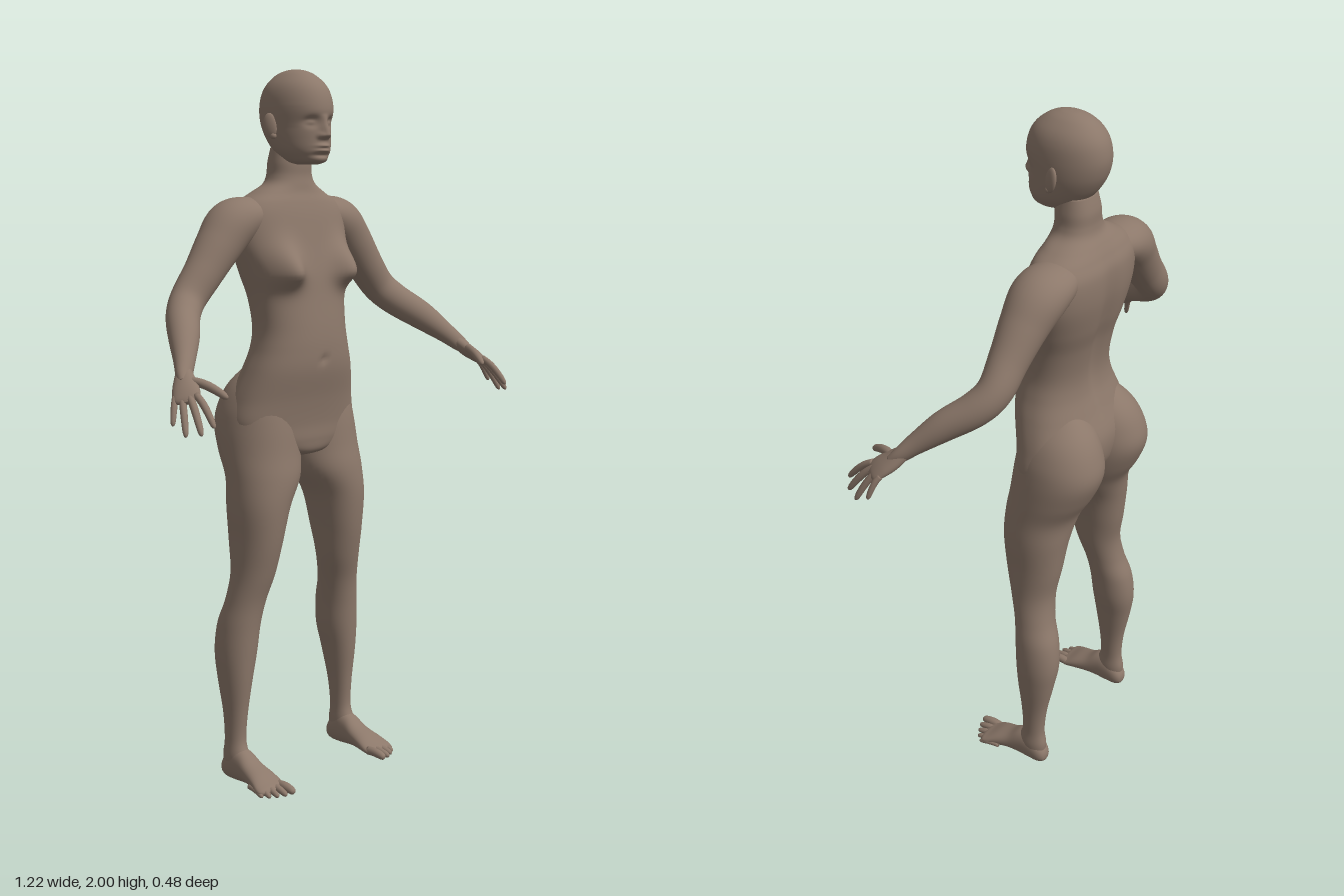
import * as THREE from 'three';

const bell = (d, w) => Math.exp(-(d / w) * (d / w));
const clamp = (v) => Math.min(1, Math.max(0, v));

// Smooth interpolation through rows of numbers, t from 0 to 1
function sample(rows, t) {
  const f = t * (rows.length - 1);
  const i = Math.min(Math.floor(f), rows.length - 2);
  const s = f - i;
  const row = (k) => rows[Math.min(rows.length - 1, Math.max(0, k))];
  return rows[i].map((b, k) => {
    const a = row(i - 1)[k], c = row(i + 1)[k], d = row(i + 2)[k];
    return 0.5 * (2 * b + (c - a) * s + (2 * a - 5 * b + 4 * c - d) * s * s + (3 * b - a - 3 * c + d) * s * s * s);
  });
}

// Closed smooth skin from rings; ring(t) returns a function from angle to [x, y, z]
function skin(ring, steps, sides) {
  const pos = [], index = [];
  for (let i = 0; i <= steps; i++) {
    const at = ring(i / steps);
    for (let j = 0; j < sides; j++) pos.push(...at((j / sides) * Math.PI * 2));
  }
  const poles = [0, steps].map((r) => {
    const c = [0, 0, 0];
    for (let j = 0; j < sides * 3; j++) c[j % 3] += pos[r * sides * 3 + j] / sides;
    return c;
  });
  const p0 = pos.length / 3, p1 = p0 + 1;
  pos.push(...poles[0], ...poles[1]);
  for (let j = 0; j < sides; j++) {
    const k = (j + 1) % sides;
    for (let i = 0; i < steps; i++) {
      const a = i * sides + j, b = i * sides + k, c = a + sides, d = b + sides;
      index.push(a, b, d, a, d, c);
    }
    index.push(p0, k, j, p1, steps * sides + j, steps * sides + k);
  }
  // Turn the faces outward whichever way the rings run
  const v = (n) => new THREE.Vector3().fromArray(pos, n * 3);
  let volume = 0;
  for (let i = 0; i < index.length; i += 3) volume += v(index[i]).dot(v(index[i + 1]).cross(v(index[i + 2])));
  if (volume < 0) index.reverse();
  const g = new THREE.BufferGeometry();
  g.setAttribute('position', new THREE.Float32BufferAttribute(pos, 3));
  g.setIndex(index);
  g.computeVertexNormals();
  return g;
}

// Loft of rows [height, centre, half width, high, low]; place() puts it in space
function loft(rows, place, steps, sides, power = 2) {
  const bend = (v) => Math.sign(v) * Math.abs(v) ** (2 / power);
  return skin((t) => {
    const [h, c, r, hi, lo] = sample(rows, t);
    return (q) => place(h, c + r * bend(Math.cos(q)), (hi + lo) / 2 + ((hi - lo) / 2) * bend(Math.sin(q)), Math.sin(q));
  }, steps, sides);
}

// Limb through rows [x, y, z, radius along ref, radius across]
function limb(rows, ref, steps, sides) {
  return skin((t) => {
    const [x, y, z, ra, rb] = sample(rows, t);
    const c = new THREE.Vector3(x, y, z);
    const point = (s) => new THREE.Vector3(...sample(rows, clamp(s)).slice(0, 3));
    const dir = point(t + 0.01).sub(point(t - 0.01)).normalize();
    const u = new THREE.Vector3(...ref);
    u.addScaledVector(dir, -u.dot(dir)).normalize();
    const v = dir.clone().cross(u);
    return (q) => c.clone().addScaledVector(u, ra * Math.cos(q)).addScaledVector(v, rb * Math.sin(q)).toArray();
  }, steps, sides);
}

// Finger or toe from a to b with a slight upward bend
function digit(a, b, r, lift, ref) {
  const at = (t, k) => [0, 1, 2].map((i) => a[i] + (b[i] - a[i]) * t + (i === 1 ? lift * 4 * t * (1 - t) : 0)).concat([r * k, r * k]);
  return limb([at(0, 1), at(0.3, 1.02), at(0.55, 1), at(0.8, 0.9), at(0.93, 0.72), at(0.985, 0.4), at(1, 0.08)], ref, 18, 14);
}

export function createModel() {
  const model = new THREE.Group();
  model.name = 'figure';
  const skinTone = new THREE.MeshStandardMaterial({ color: 0x8c786a });
  skinTone.name = 'skin';

  const add = (name, geometry) => {
    const mesh = new THREE.Mesh(geometry, skinTone);
    mesh.name = name;
    model.add(mesh);
  };
  const addPair = (name, geometry) => {
    add('left' + name, geometry);
    const other = geometry.clone().scale(-1, 1, 1);
    other.setIndex(Array.from(geometry.index.array).reverse());
    add('right' + name, other);
  };

  // Torso and neck, with bust, navel and spine furrow
  add('torso', loft([
    [1.79, 0, 0.055, -0.05, -0.14], [1.75, 0, 0.062, -0.042, -0.15], [1.715, 0, 0.066, -0.042, -0.152],
    [1.69, 0, 0.08, -0.038, -0.158], [1.667, 0, 0.12, -0.033, -0.174], [1.64, 0, 0.165, -0.022, -0.19],
    [1.6, 0, 0.19, -0.01, -0.205], [1.53, 0, 0.19, 0.005, -0.205], [1.45, 0, 0.17, 0.022, -0.19],
    [1.38, 0, 0.152, 0.032, -0.17], [1.3, 0, 0.145, 0.043, -0.157], [1.24, 0, 0.155, 0.047, -0.16],
    [1.18, 0, 0.175, 0.044, -0.178], [1.1, 0, 0.2, 0.027, -0.205], [1.03, 0, 0.212, 0.016, -0.2],
    [0.98, 0, 0.18, 0.013, -0.175], [0.945, 0, 0.09, 0.002, -0.14], [0.93, 0, 0.02, -0.04, -0.1],
  ], (y, x, z, s) => {
    const ax = Math.abs(x), front = clamp(s * 2.5), back = clamp(-s * 2.5);
    z += front * 0.058 * bell(ax - 0.11, 0.048) * bell(y - 1.452, y > 1.452 ? 0.068 : 0.04);
    z -= front * 0.008 * bell(x, 0.01) * bell(y - 1.21, 0.012);
    z += back * 0.016 * bell(x, 0.03) * bell(y - 1.38, 0.22);
    return [x, y, z];
  }, 130, 88, 2.3));

  // Head, with the face shaped by bumps and hollows
  add('head', loft([
    [2, 0, 0.002, -0.069, -0.073], [1.997, 0, 0.021, -0.042, -0.1], [1.985, 0, 0.044, -0.01, -0.132],
    [1.96, 0, 0.068, 0.022, -0.16], [1.93, 0, 0.081, 0.04, -0.177], [1.89, 0, 0.086, 0.048, -0.183],
    [1.85, 0, 0.085, 0.043, -0.175], [1.815, 0, 0.08, 0.043, -0.157], [1.785, 0, 0.072, 0.043, -0.133],
    [1.765, 0, 0.06, 0.04, -0.11], [1.75, 0, 0.045, 0.032, -0.085], [1.743, 0, 0.02, 0.01, -0.06],
  ], (y, x, z, s) => {
    x *= 1 - 0.1 * clamp(s) * clamp((1.9 - y) / 0.06);
    const ax = Math.abs(x);
    const bridge = clamp((1.878 - y) / 0.055) * (y < 1.82 ? bell(y - 1.82, 0.007) : 1);
    const face = 0.024 * bell(x, 0.012) * bridge
      + 0.009 * bell(ax - 0.015, 0.007) * bell(y - 1.82, 0.008)
      - 0.015 * bell(ax - 0.034, 0.018) * bell(y - 1.857, 0.013)
      + 0.009 * bell(ax - 0.034, 0.012) * bell(y - 1.855, 0.007)
      + 0.008 * bell(x, 0.021) * (bell(y - 1.793, 0.005) + bell(y - 1.78, 0.005))
      - 0.006 * bell(x, 0.03) * bell(y - 1.768, 0.006);
    return [x, y, z + face * clamp(s * 2)];
  }, 130, 110, 2.1));

  // Ears
  const ear = new THREE.SphereGeometry(1, 20, 16).scale(0.009, 0.034, 0.02);
  ear.rotateY(-0.4).rotateX(-0.2).translate(0.09, 1.848, -0.075);
  addPair('Ear', ear);
  addPair('EarLobe', new THREE.SphereGeometry(0.009, 14, 10).translate(0.087, 1.82, -0.066));

  // Legs, the tops forming the buttocks
  addPair('Leg', loft([
    [1.2, 0.085, 0.04, -0.05, -0.15], [1.14, 0.095, 0.085, -0.015, -0.207], [1.08, 0.104, 0.104, 0, -0.236],
    [1.02, 0.109, 0.111, 0.01, -0.244], [0.95, 0.114, 0.111, 0.018, -0.218], [0.88, 0.123, 0.104, 0.028, -0.18],
    [0.8, 0.147, 0.083, 0.027, -0.165], [0.7, 0.158, 0.068, 0.015, -0.152], [0.61, 0.167, 0.06, -0.005, -0.137],
    [0.53, 0.182, 0.056, -0.027, -0.145], [0.46, 0.194, 0.057, -0.037, -0.167], [0.38, 0.201, 0.055, -0.043, -0.174],
    [0.3, 0.207, 0.044, -0.05, -0.162], [0.2, 0.21, 0.031, -0.062, -0.142], [0.12, 0.212, 0.027, -0.066, -0.135],
    [0.07, 0.213, 0.03, -0.05, -0.142], [0.03, 0.213, 0.026, -0.06, -0.138],
  ], (y, x, z) => [x, y, z], 90, 44, 2.1));

  // Feet
  addPair('Foot', loft([
    [-0.148, 0.212, 0.004, 0.034, 0.024], [-0.143, 0.212, 0.018, 0.05, 0.01], [-0.125, 0.212, 0.028, 0.075, 0.001],
    [-0.09, 0.212, 0.032, 0.1, 0], [-0.055, 0.212, 0.034, 0.094, 0.003], [-0.02, 0.212, 0.038, 0.07, 0.006],
    [0.02, 0.214, 0.045, 0.052, 0.004], [0.048, 0.217, 0.049, 0.036, 0.002], [0.064, 0.218, 0.045, 0.028, 0.004],
    [0.074, 0.217, 0.025, 0.02, 0.01],
  ], (z, x, y) => [x, y, z], 40, 32, 2.2));

  // Toes, from the big toe outward
  [[0.182, 0.183, 0.115, 0.0125], [0.203, 0.207, 0.11, 0.0095], [0.222, 0.229, 0.1, 0.009],
    [0.239, 0.248, 0.087, 0.0085], [0.252, 0.262, 0.07, 0.008]].forEach(([x0, x1, z1, r], i) => {
    addPair('Toe' + (i + 1), digit([x0, 0.018, z1 - 0.065], [x1, r, z1], r, 0.004, [1, 0, 0]));
  });

  // Arms, from inside the shoulder to the wrist
  addPair('Arm', limb([
    [0.07, 1.605, -0.115, 0.035, 0.05], [0.14, 1.602, -0.115, 0.055, 0.073], [0.2, 1.58, -0.113, 0.068, 0.076],
    [0.253, 1.525, -0.108, 0.063, 0.064], [0.31, 1.455, -0.104, 0.055, 0.052], [0.365, 1.39, -0.1, 0.05, 0.046],
    [0.407, 1.347, -0.07, 0.047, 0.045], [0.455, 1.3, -0.008, 0.042, 0.04], [0.5, 1.25, 0.048, 0.03, 0.028],
    [0.528, 1.218, 0.08, 0.024, 0.02], [0.542, 1.2, 0.1, 0.018, 0.014],
  ], [0.76, 0.65, 0], 70, 36));

  // Hands
  const across = [0.55, -0.14, -0.82];
  addPair('Palm', limb([
    [0.52, 1.228, 0.07, 0.02, 0.018], [0.54, 1.2, 0.098, 0.031, 0.019], [0.555, 1.182, 0.121, 0.036, 0.016],
    [0.567, 1.167, 0.139, 0.034, 0.011], [0.573, 1.159, 0.148, 0.016, 0.005],
  ], across, 24, 28));
  [['IndexFinger', [0.549, 1.177, 0.155], [0.56, 1.105, 0.236], 0.0095],
    ['MiddleFinger', [0.56, 1.174, 0.141], [0.585, 1.086, 0.217], 0.0098],
    ['RingFinger', [0.571, 1.171, 0.125], [0.603, 1.08, 0.178], 0.0092],
    ['LittleFinger', [0.579, 1.169, 0.108], [0.607, 1.103, 0.132], 0.0082],
    ['Thumb', [0.532, 1.207, 0.105], [0.49, 1.168, 0.205], 0.0115]].forEach(([name, a, b, r]) => {
    addPair(name, digit(a, b, r, 0.009, across));
  });

  return model;
}
